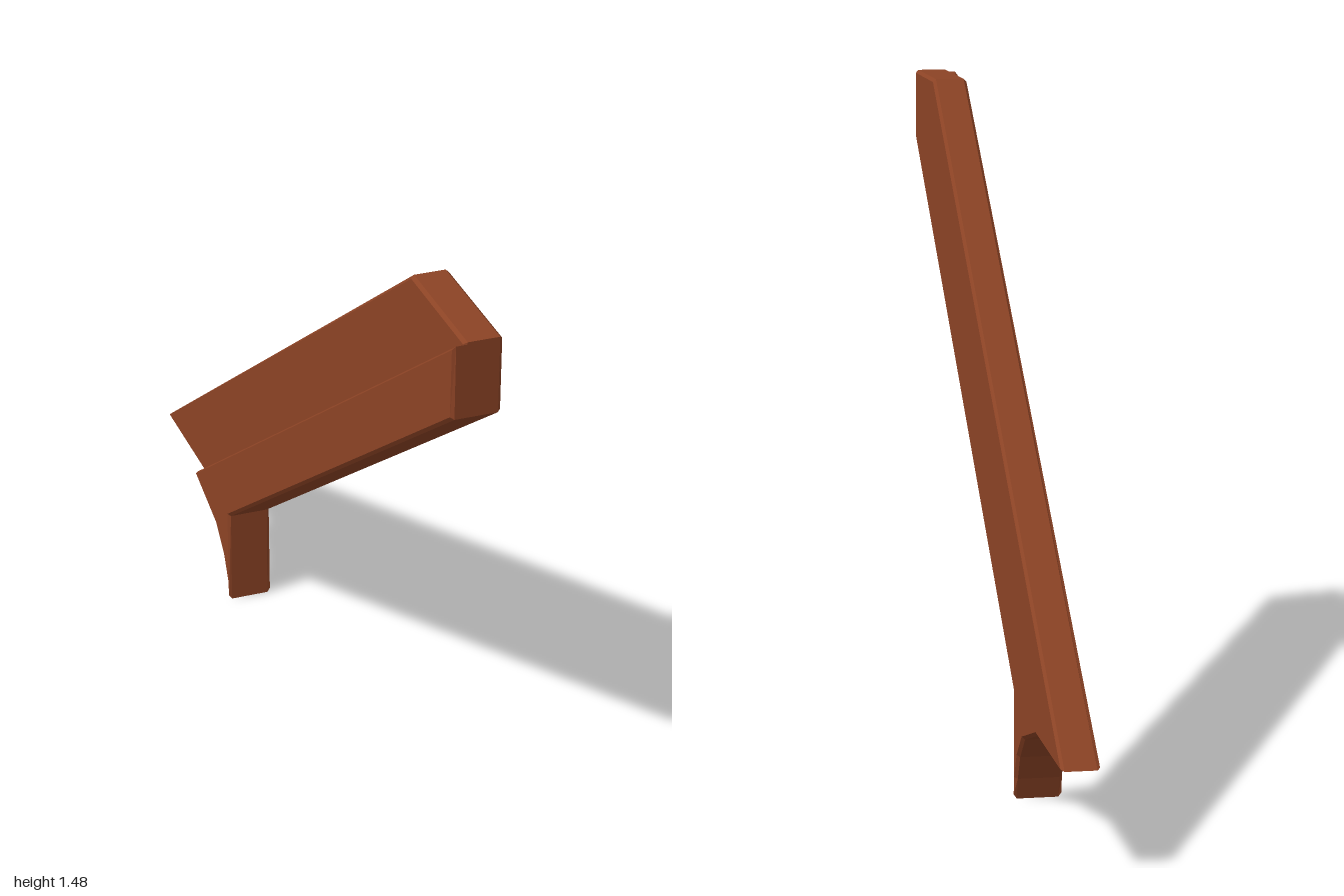
import * as THREE from 'three';

const BEVEL = 0.007;

// Extrudes a side profile of [z, y] points between x = xMin and x = xMax, with chamfered edges
function board(name, profile, xMin, xMax, material) {
  const shape = new THREE.Shape(profile.map(([z, y]) => new THREE.Vector2(z, y)));
  const geometry = new THREE.ExtrudeGeometry(shape, {
    depth: xMax - xMin - 2 * BEVEL,
    bevelEnabled: true,
    bevelSegments: 1,
    bevelSize: BEVEL,
    bevelThickness: BEVEL,
    bevelOffset: -BEVEL,
  });
  geometry.rotateY(-Math.PI / 2);
  geometry.translate(xMax - BEVEL, 0, 0);
  const mesh = new THREE.Mesh(geometry, material);
  mesh.name = name;
  return mesh;
}

export function createModel() {
  const wood = new THREE.MeshStandardMaterial({ color: 0x8c4325 });
  wood.name = 'reddish brown wood';

  // Underside shared by both boards: carved foot, notch and sloping lower edge
  const underside = [
    [-0.705, 0.213], [-0.54, 0.16], [-0.48, 0.105], [-0.45, 0.048],
    [-0.437, 0], [-0.437, 0.24], [1, 1.31],
  ];

  const group = new THREE.Group();
  group.name = 'slopingBeam';

  // Full-height board with a level top end and a pointed lower end
  group.add(board('mainBoard',
    [...underside, [1, 1.48], [0.706, 1.48], [-1, 0.214]], -0.029, 0.053, wood));

  // Lower board on one side, leaving a ledge along the slope
  group.add(board('ledgeBoard', [...underside, [1, 1.475]], -0.053, 0.01, wood));

  return group;
}
